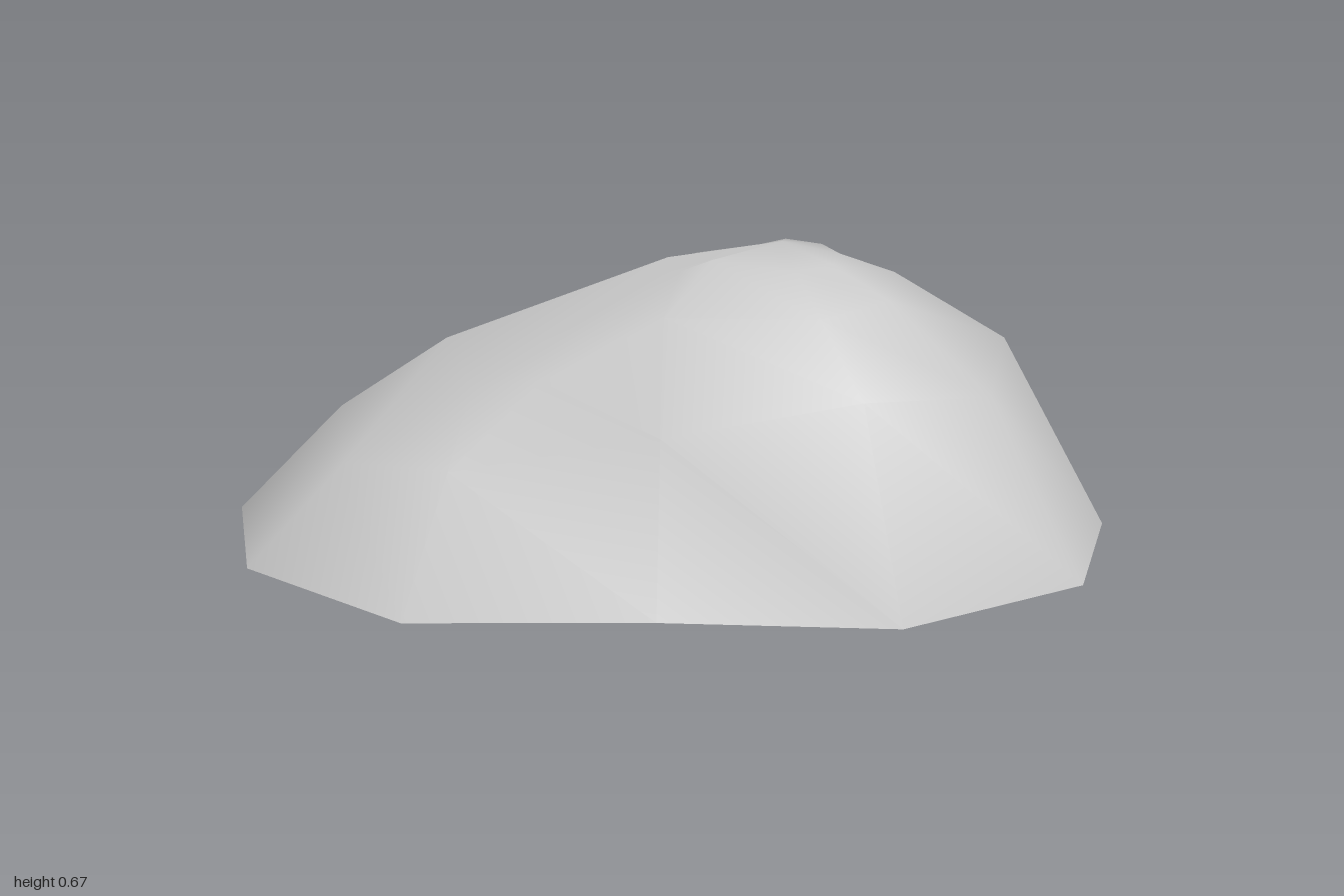
import * as THREE from 'three';

// Twelve-point contours [x, y, z], running back -> left -> front -> right
const base = [
  [0, 0, -0.625], [0.46, 0, -0.44], [0.82, 0, -0.23], [1, 0, 0.06],
  [0.91, 0, 0.38], [0.51, 0, 0.6], [0, 0, 0.595], [-0.53, 0, 0.62],
  [-0.91, 0, 0.38], [-1, 0, 0.06], [-0.82, 0, -0.23], [-0.49, 0, -0.45],
];
const middle = [
  [0.05, 0.29, -0.45], [0.42, 0.33, -0.3], [0.66, 0.36, -0.15], [0.75, 0.45, 0.06],
  [0.7, 0.4, 0.3], [0.42, 0.45, 0.475], [0, 0.34, 0.42], [-0.45, 0.26, 0.43],
  [-0.7, 0.22, 0.3], [-0.75, 0.26, 0.06], [-0.65, 0.23, -0.12], [-0.42, 0.25, -0.27],
];
const shoulder = [
  [0.08, 0.48, -0.28], [0.36, 0.49, -0.19], [0.47, 0.53, -0.1], [0.5, 0.6, 0.06],
  [0.48, 0.58, 0.2], [0.33, 0.58, 0.335], [0, 0.55, 0.25], [-0.26, 0.43, 0.33],
  [-0.42, 0.38, 0.25], [-0.5, 0.43, 0.06], [-0.42, 0.41, -0.1], [-0.22, 0.4, -0.23],
];
const crown = [
  [0.15, 0.61, -0.06], [0.26, 0.655, 0], [0.34, 0.65, 0.02], [0.38, 0.64, 0.06],
  [0.36, 0.64, 0.14], [0.28, 0.64, 0.2], [0.1, 0.65, 0.15], [0.03, 0.62, 0.14],
  [0, 0.61, 0.11], [0, 0.63, 0.07], [0.02, 0.61, 0.01], [0.06, 0.61, -0.03],
];
const peak = [0.25, 0.67, 0.07];

function makeGeometry(points, index) {
  const geometry = new THREE.BufferGeometry();
  geometry.setAttribute('position', new THREE.Float32BufferAttribute(points.flat(), 3));
  geometry.setIndex(index);
  geometry.computeVertexNormals();
  return geometry;
}

// Smooth skin lofted through the contours and closed at the peak
function moundGeometry() {
  const rings = [base, middle, shoulder, crown];
  const n = base.length;
  const index = [];
  for (let r = 0; r < rings.length; r++) {
    for (let i = 0; i < n; i++) {
      const a = r * n + i, b = r * n + (i + 1) % n;
      if (r === rings.length - 1) index.push(a, rings.length * n, b);
      else index.push(a, a + n, b + n, a, b + n, b);
    }
  }
  return makeGeometry([...rings.flat(), peak], index);
}

// Flat underside with its own normals
function undersideGeometry() {
  const n = base.length;
  const index = [];
  for (let i = 0; i < n; i++) index.push(n, i, (i + 1) % n);
  return makeGeometry([...base, [0, 0, 0]], index);
}

export function createModel() {
  const group = new THREE.Group();
  group.name = 'rock';
  const stone = new THREE.MeshStandardMaterial({ color: 0xc8c8c8 });
  stone.name = 'light grey stone';

  const mound = new THREE.Mesh(moundGeometry(), stone);
  mound.name = 'mound';
  const underside = new THREE.Mesh(undersideGeometry(), stone);
  underside.name = 'underside';
  group.add(mound, underside);
  return group;
}
